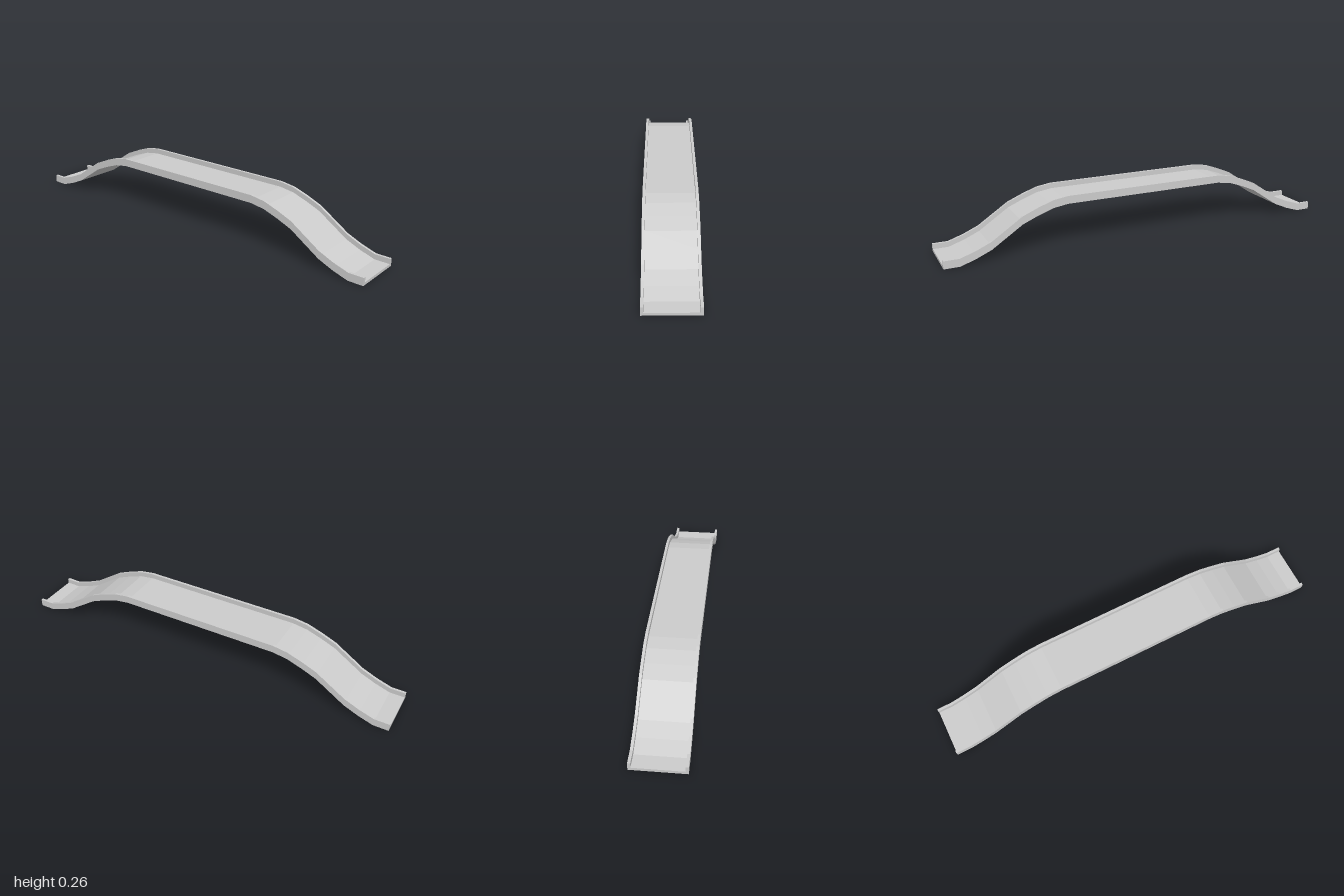
import * as THREE from 'three';

// Height of the underside at each station, counted inward from either end
const RISE = [0, 0, 0.024, 0.056, 0.105, 0.154, 0.185, 0.211, 0.222];
const STEPS = 27, LENGTH = 2;
const HALF_WIDTH = 0.125, WALL = 0.013, HEIGHT = 0.038;

export function createModel() {
  const group = new THREE.Group();
  group.name = 'archedBridge';

  // U-shaped section: a thin deck with a low kerb on each side
  const inner = HALF_WIDTH - WALL;
  const section = new THREE.Shape([
    [-HALF_WIDTH, 0], [HALF_WIDTH, 0], [HALF_WIDTH, HEIGHT], [inner, HEIGHT],
    [inner, WALL], [-inner, WALL], [-inner, HEIGHT], [-HALF_WIDTH, HEIGHT],
  ].map(([x, y]) => new THREE.Vector2(x, y)));

  const geometry = new THREE.ExtrudeGeometry(section, {
    depth: LENGTH, steps: STEPS, bevelEnabled: false,
  });
  geometry.translate(0, 0, -LENGTH / 2);

  // Lift each station to follow the ramps and the level middle span
  const pos = geometry.attributes.position;
  for (let i = 0; i < pos.count; i++) {
    const station = Math.round((LENGTH / 2 - Math.abs(pos.getZ(i))) * STEPS / LENGTH);
    pos.setY(i, pos.getY(i) + RISE[Math.min(station, RISE.length - 1)]);
  }
  geometry.computeVertexNormals();

  const material = new THREE.MeshStandardMaterial({ color: 0xcccccc, flatShading: true });
  const bridge = new THREE.Mesh(geometry, material);
  bridge.name = 'deckWithKerbs';
  group.add(bridge);
  return group;
}
